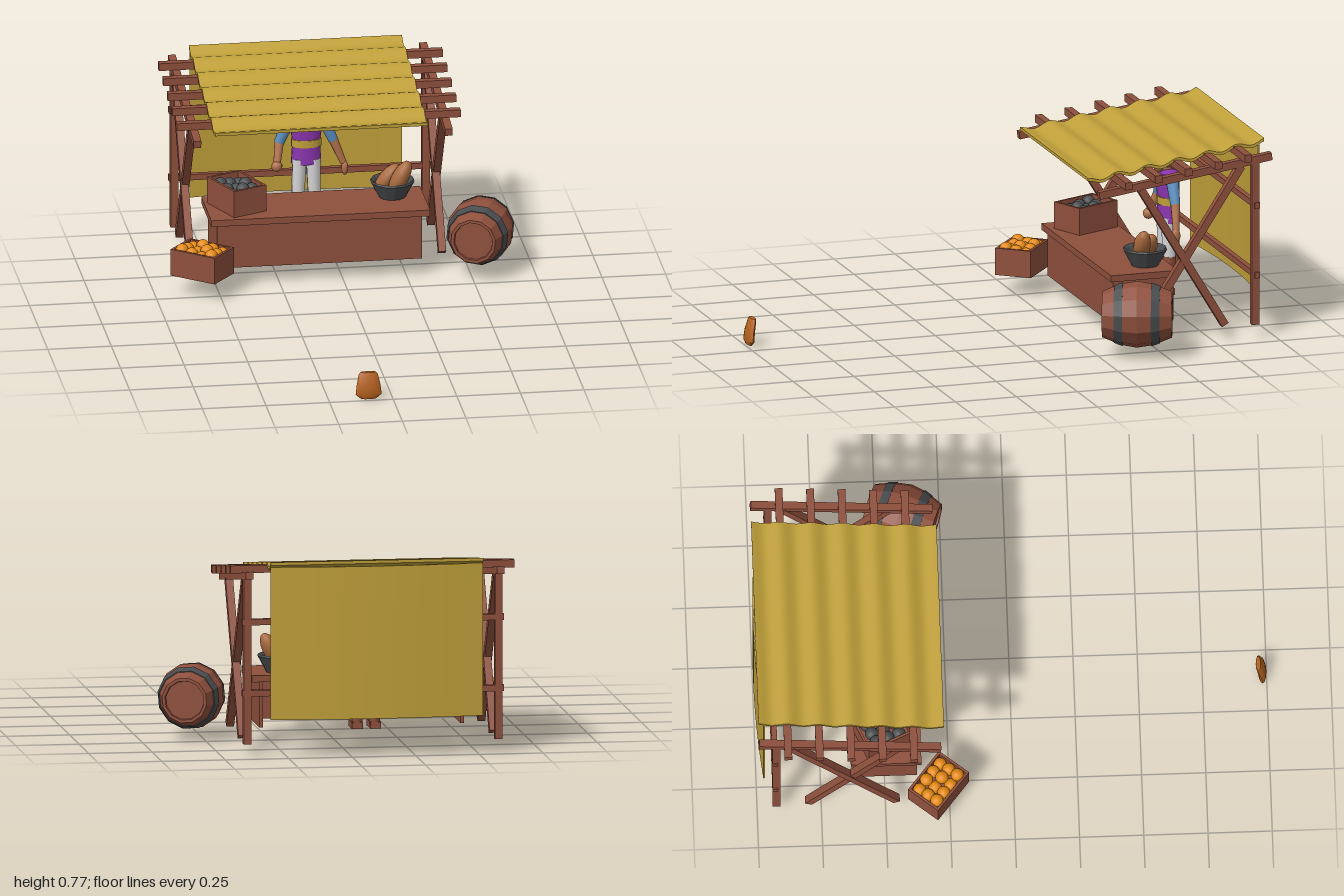
import * as THREE from 'three';
import { toCreasedNormals } from 'three/addons/utils/BufferGeometryUtils.js';

const mat = (name, color) => {
  const m = new THREE.MeshStandardMaterial({ color });
  m.name = name;
  return m;
};
const V = (x, y, z) => new THREE.Vector3(x, y, z);
const UP = V(0, 1, 0);

// Faceted copy of a geometry
function flat(g) {
  const f = g.index ? g.toNonIndexed() : g;
  f.computeVertexNormals();
  return f;
}

function add(parent, name, geo, material, x = 0, y = 0, z = 0) {
  const m = new THREE.Mesh(geo, material);
  m.name = name;
  m.position.set(x, y, z);
  parent.add(m);
  return m;
}

const box = (p, name, m, w, h, d, x, y, z) => add(p, name, new THREE.BoxGeometry(w, h, d), m, x, y, z);

// Square beam between two points in the same x plane
function beam(p, name, m, a, b, t = 0.03) {
  const mesh = box(p, name, m, t, a.distanceTo(b), t, 0, 0, 0);
  mesh.position.copy(a).lerp(b, 0.5);
  mesh.quaternion.setFromUnitVectors(UP, b.clone().sub(a).normalize());
}

// Tapered round limb from a to b
function limb(p, name, m, a, b, ra, rb) {
  const mesh = add(p, name, new THREE.CylinderGeometry(rb, ra, a.distanceTo(b), 10), m);
  mesh.position.copy(a).lerp(b, 0.5);
  mesh.quaternion.setFromUnitVectors(UP, b.clone().sub(a).normalize());
}

function ball(p, name, m, x, y, z, sx, sy = sx, sz = sx) {
  const mesh = add(p, name, new THREE.SphereGeometry(1, 12, 9), m, x, y, z);
  mesh.scale.set(sx, sy, sz);
  return mesh;
}

export function createModel() {
  const wood = mat('wood', 0x8f503d);
  const cloth = mat('mustardCloth', 0xc0a03a);
  const iron = mat('darkIron', 0x4a4d4f);
  const orange = mat('orangeFruit', 0xe58a12);
  const crust = mat('breadCrust', 0xa8693c);
  const purple = mat('purpleTunic', 0x8a35ad);
  const blue = mat('blueSleeve', 0x5c90c0);
  const white = mat('whiteLinen', 0xd8d8d8);
  const skin = mat('skin', 0xb0714c);
  const clay = mat('rustBrown', 0xb5621f);

  const model = new THREE.Group();
  model.name = 'marketStall';
  const cx = -0.091;
  const roofY = z => 0.619 + 0.145 * (-0.285 - z);

  // Timber frame: posts, sloping rafters and crossed braces on both sides
  const frame = new THREE.Group();
  frame.name = 'frame';
  model.add(frame);
  for (const x of [-0.585, 0.403]) {
    beam(frame, 'backPost', wood, V(x, 0.05, -0.925), V(x, 0.7, -0.925));
    beam(frame, 'rafter', wood, V(x, roofY(-0.285), -0.285), V(x, roofY(-0.992), -0.992));
    beam(frame, 'brace', wood, V(x + 0.002, 0.06, -0.8), V(x + 0.002, 0.63, -0.457));
    beam(frame, 'crossBrace', wood, V(x - 0.002, 0.06, -0.457), V(x - 0.002, 0.69, -0.868));
  }
  for (const y of [0.25, 0.53]) box(frame, 'backRail', wood, 1.03, 0.024, 0.022, cx, y, -0.93);
  for (let i = 0; i < 5; i++) {
    const z = -0.39 - i * 0.1225;
    box(frame, 'purlin', wood, 1.116, 0.03, 0.03, cx - 0.004, roofY(z) + 0.027, z);
  }

  // Awning: wavy strip draped over the purlins
  const top = [], under = [];
  for (let i = 0; i <= 60; i++) {
    const z = -0.27 - (0.722 * i) / 60;
    const y = roofY(z) + 0.042 + 0.009 * Math.cos((2 * Math.PI * (z + 0.39)) / 0.1225);
    top.push(new THREE.Vector2(-z, y));
    under.unshift(new THREE.Vector2(-z, y - 0.012));
  }
  const awning = new THREE.ExtrudeGeometry(new THREE.Shape([...top, ...under]),
    { depth: 0.837, bevelEnabled: false });
  awning.rotateY(Math.PI / 2);
  add(model, 'awning', toCreasedNormals(awning, 0.9), cloth, -0.517, 0, 0);

  // Back curtain: two skins bulging slightly outwards
  const curtain = new THREE.BoxGeometry(0.835, 0.6, 0.006, 16, 1, 1);
  const cp = curtain.attributes.position;
  for (let i = 0; i < cp.count; i++) {
    const u = cp.getX(i) / 0.4175;
    cp.setZ(i, cp.getZ(i) - 0.026 * (1 - u * u));
  }
  add(model, 'backCurtain', toCreasedNormals(curtain, 0.7), cloth, -0.1, 0.449, -0.97);

  // Counter, hollow and open towards the seller
  const counter = new THREE.Group();
  counter.name = 'counter';
  model.add(counter);
  box(counter, 'counterTop', wood, 0.86, 0.026, 0.275, -0.09, 0.261, -0.495);
  box(counter, 'counterFront', wood, 0.805, 0.18, 0.014, -0.0925, 0.159, -0.382);
  for (const x of [-0.488, 0.303]) box(counter, 'counterSide', wood, 0.014, 0.18, 0.235, x, 0.159, -0.506);

  // Open crates
  function crate(name, x, y, z, turn) {
    const c = new THREE.Group();
    c.name = name;
    c.position.set(x, y, z);
    c.rotation.y = turn;
    model.add(c);
    box(c, 'crateFloor', wood, 0.2, 0.012, 0.147, 0, 0.006, 0);
    for (const s of [-1, 1]) {
      box(c, 'crateLongSide', wood, 0.2, 0.108, 0.01, 0, 0.054, s * 0.0685);
      box(c, 'crateShortSide', wood, 0.01, 0.108, 0.13, s * 0.095, 0.054, 0);
    }
    return c;
  }
  const fruitCrate = crate('fruitCrate', -0.565, 0.078, -0.293, -0.68);
  const potCrate = crate('counterCrate', -0.4, 0.274, -0.5, -1.155);
  for (let i = 0; i < 4; i++) {
    for (let j = 0; j < 3; j++) {
      const x = -0.066 + i * 0.044, z = -0.042 + j * 0.042, lift = ((i * 2 + j) % 3) * 0.008;
      ball(fruitCrate, 'orange', orange, x, 0.085 + lift, z, 0.026);
      if (i < 3) ball(potCrate, 'darkWare', iron, x * 1.1 + 0.02, 0.07 + lift, z, 0.027);
    }
  }

  // Bowl with loaves
  const bowl = [[0, 0], [0.053, 0], [0.087, 0.064], [0.083, 0.071], [0.074, 0.064], [0.045, 0.014], [0, 0.014]];
  add(model, 'bowl', flat(new THREE.LatheGeometry(bowl.map(p => new THREE.Vector2(...p)), 14)), iron, 0.217, 0.274, -0.537);
  ball(model, 'loaf', crust, 0.245, 0.357, -0.515, 0.034, 0.074, 0.034).rotation.z = -0.5;
  ball(model, 'loaf', crust, 0.2, 0.342, -0.56, 0.032, 0.07, 0.032).rotation.z = -0.7;

  // Barrel lying on its side
  const barrel = new THREE.Group();
  barrel.name = 'barrel';
  barrel.position.set(0.543, 0.166, -0.397);
  barrel.quaternion.setFromUnitVectors(UP, V(0.344, 0, -0.939).normalize());
  model.add(barrel);
  const lathe = pts => flat(new THREE.LatheGeometry(pts.map(p => new THREE.Vector2(...p)), 12));
  add(barrel, 'staves', lathe([[0, -0.127], [0.076, -0.127], [0.078, -0.136], [0.09, -0.136], [0.119, -0.065], [0.13, 0],
    [0.119, 0.065], [0.09, 0.136], [0.078, 0.136], [0.076, 0.127], [0, 0.127]]), wood);
  for (const s of [-1, 1]) {
    const hoop = [[0.116, 0.056], [0.1245, 0.056], [0.112, 0.09], [0.104, 0.09]].map(([r, y]) => [r, s * y]);
    add(barrel, 'hoop', lathe(s > 0 ? hoop : hoop.reverse()), iron);
  }

  // Seller
  const seller = new THREE.Group();
  seller.name = 'seller';
  seller.position.set(-0.094, 0, -0.73);
  model.add(seller);
  for (const s of [-1, 1]) {
    limb(seller, 'trouserLeg', white, V(s * 0.033, 0.2, 0.0), V(s * 0.027, 0.38, 0.005), 0.025, 0.029);
    limb(seller, 'boot', wood, V(s * 0.034, 0.08, 0.01), V(s * 0.033, 0.225, 0), 0.021, 0.027);
    box(seller, 'shoe', wood, 0.042, 0.026, 0.1, s * 0.036, 0.085, 0.035);
    limb(seller, 'sleeve', blue, V(s * 0.064, 0.548, 0), V(s * 0.106, 0.448, 0), 0.027, 0.02);
  }
  const tunic = [[0, 0.36], [0.06, 0.36], [0.056, 0.43], [0.056, 0.46], [0.07, 0.54], [0.066, 0.558], [0.02, 0.57], [0, 0.57]];
  const torso = new THREE.LatheGeometry(tunic.map(p => new THREE.Vector2(...p)), 14);
  add(seller, 'tunic', toCreasedNormals(torso, 0.8), purple).scale.z = 0.62;
  add(seller, 'belt', new THREE.CylinderGeometry(0.06, 0.06, 0.03, 14), cloth, 0, 0.446, 0).scale.z = 0.65;
  // Forearms: one raised forward, one reaching down
  limb(seller, 'forearm', skin, V(-0.106, 0.45, 0), V(-0.118, 0.375, 0.03), 0.019, 0.015);
  ball(seller, 'hand', skin, -0.12, 0.362, 0.035, 0.022, 0.022, 0.022);
  limb(seller, 'forearm', skin, V(0.106, 0.45, 0), V(0.145, 0.355, 0.01), 0.019, 0.013);
  ball(seller, 'hand', skin, 0.15, 0.335, 0.012, 0.013, 0.03, 0.018);
  // Head with headband and beard
  limb(seller, 'neck', skin, V(0, 0.555, 0), V(0, 0.6, 0.003), 0.022, 0.022);
  ball(seller, 'head', skin, 0, 0.62, 0.002, 0.04, 0.05, 0.045);
  ball(seller, 'hair', crust, 0, 0.63, -0.012, 0.042, 0.042, 0.042);
  add(seller, 'headband', new THREE.CylinderGeometry(0.036, 0.043, 0.022, 14), white, 0, 0.64, 0.002);
  ball(seller, 'beard', crust, 0, 0.585, 0.034, 0.027, 0.03, 0.02);
  ball(seller, 'nose', skin, 0, 0.612, 0.05, 0.01, 0.014, 0.013);

  // Small curved, flattened piece lying apart in front
  const piece = [[0, 0], [0.03, 0.003], [0.051, 0.02], [0.047, 0.055], [0.038, 0.098], [0.03, 0.107], [0, 0.108]];
  const pg = new THREE.LatheGeometry(piece.map(p => new THREE.Vector2(...p)), 12);
  const pp = pg.attributes.position;
  for (let i = 0; i < pp.count; i++) {
    const y = pp.getY(i);
    pp.setZ(i, pp.getZ(i) * 0.32 - 1.4 * y * y);
  }
  add(model, 'loosePiece', toCreasedNormals(pg, 0.7), clay, -0.094, 0, 0.984);

  return model;
}
